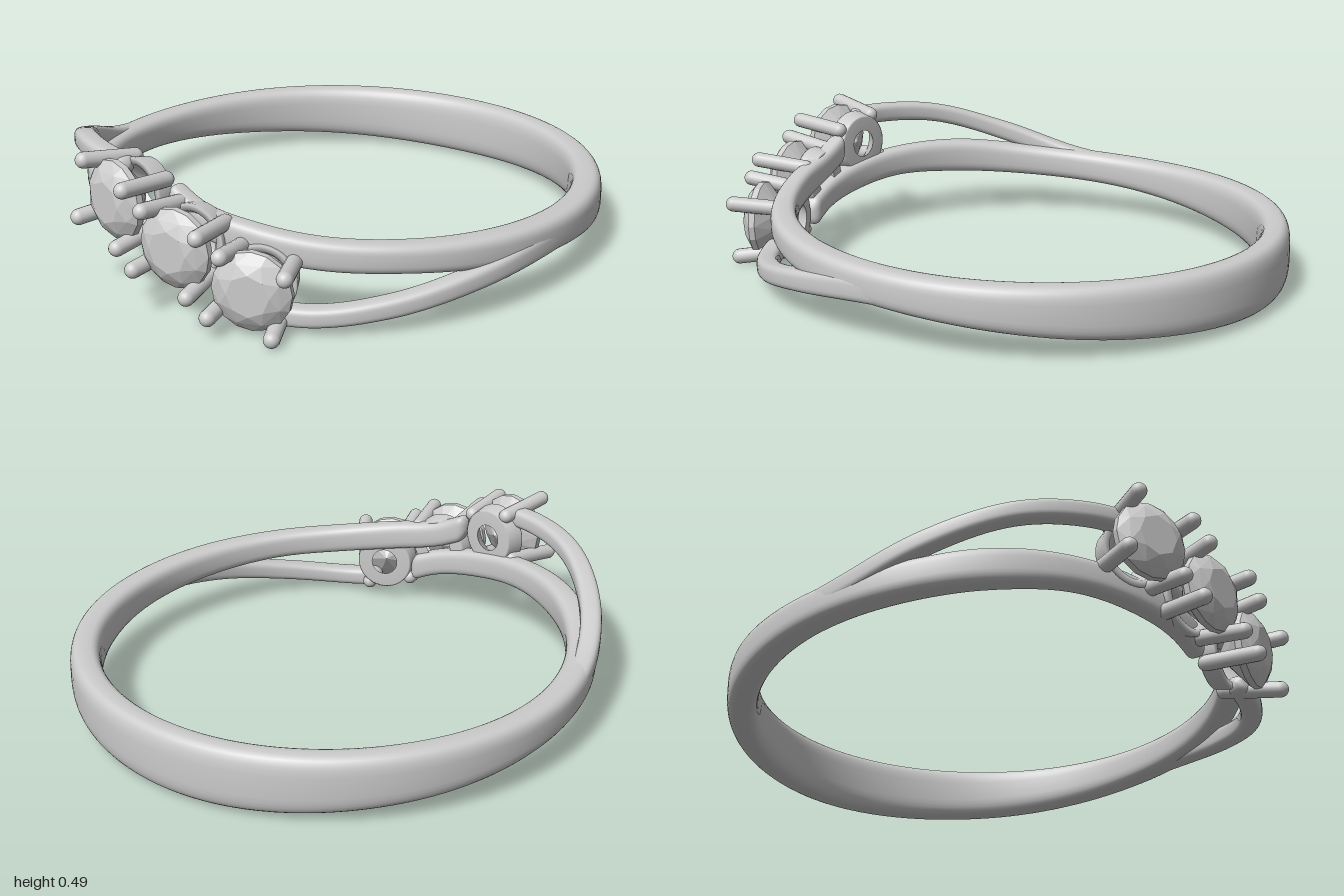
import * as THREE from 'three';
import { ConvexGeometry } from 'three/addons/geometries/ConvexGeometry.js';

const CENTRE_Z = -0.085; // the hoop's axis is vertical, slightly behind the origin
const rad = THREE.MathUtils.degToRad;

// Sweep a rounded-rectangle section around the hoop.
// Keys: [angle from front in degrees, bottom y, top y, inner radius, outer radius]
function sweep(name, keys, steps, material) {
  const interp = new THREE.CubicInterpolant(keys.map(k => k[0]), keys.flatMap(k => k.slice(1)), 4, new Float32Array(4));
  const first = keys[0][0], last = keys[keys.length - 1][0];
  const sides = 32, cap = 2.2;
  const soft = v => Math.sign(v) * Math.abs(v) ** 0.62;
  const pos = [], index = [];
  for (let i = 0; i <= steps; i++) {
    const deg = first + (last - first) * (1 - Math.cos(Math.PI * i / steps)) / 2;
    const [lo, hi, rIn, rOut] = interp.evaluate(deg);
    // rounded ends
    const e = Math.min(1, (deg - first) / cap, (last - deg) / cap);
    const s = Math.sqrt(Math.max(0, 1 - (1 - e) ** 2));
    for (let j = 0; j < sides; j++) {
      const a = j / sides * Math.PI * 2;
      const r = (rIn + rOut) / 2 + s * (rOut - rIn) / 2 * soft(Math.cos(a));
      const y = (lo + hi) / 2 + s * (hi - lo) / 2 * soft(Math.sin(a));
      pos.push(r * Math.sin(rad(deg)), y, CENTRE_Z + r * Math.cos(rad(deg)));
      if (i < steps) {
        const p = i * sides + j, q = i * sides + (j + 1) % sides;
        index.push(p, p + sides, q, q, p + sides, q + sides);
      }
    }
  }
  const geo = new THREE.BufferGeometry();
  geo.setAttribute('position', new THREE.Float32BufferAttribute(pos, 3));
  geo.setIndex(index);
  geo.computeVertexNormals();
  const mesh = new THREE.Mesh(geo, material);
  mesh.name = name;
  return mesh;
}

// Faceted round stone facing +z, girdle at z = 0
function stoneGeometry() {
  const pts = [];
  const ring = (n, r, z, turn) => {
    for (let i = 0; i < n; i++) {
      const a = (i + turn) / n * Math.PI * 2;
      pts.push(new THREE.Vector3(r * Math.cos(a), r * Math.sin(a), z));
    }
  };
  ring(8, 0.07, 0.05, 0);      // table
  ring(8, 0.106, 0.034, 0.5);  // crown
  ring(16, 0.132, 0.01, 0);    // girdle
  ring(16, 0.132, -0.012, 0);
  ring(8, 0.07, -0.065, 0.5);  // pavilion
  pts.push(new THREE.Vector3(0, 0, -0.115));
  return new ConvexGeometry(pts);
}

export function createModel() {
  const model = new THREE.Group();
  model.name = 'ring';
  const metal = new THREE.MeshStandardMaterial({ color: 0xcccccc });
  const facet = new THREE.MeshStandardMaterial({ color: 0xcccccc, flatShading: true });

  // Band: from the upper arm's tip, around the back, to the lower arm's tip
  model.add(sweep('band', [
    [-8, 0.30, 0.405, 0.81, 0.88],
    [0, 0.25, 0.35, 0.81, 0.885],
    [13, 0.21, 0.315, 0.81, 0.89],
    [27, 0.185, 0.287, 0.81, 0.895],
    [45, 0.17, 0.27, 0.81, 0.905],
    [65, 0.145, 0.257, 0.81, 0.915],
    [90, 0.115, 0.243, 0.81, 0.918],
    [135, 0.045, 0.23, 0.81, 0.918],
    [180, 0.008, 0.222, 0.81, 0.915],
    [225, 0.045, 0.228, 0.81, 0.918],
    [270, 0.115, 0.236, 0.81, 0.918],
    [295, 0.145, 0.262, 0.81, 0.915],
    [315, 0.17, 0.295, 0.81, 0.905],
    [333, 0.185, 0.293, 0.81, 0.895],
    [347, 0.165, 0.27, 0.81, 0.89],
    [360, 0.13, 0.23, 0.81, 0.885],
    [368, 0.085, 0.19, 0.81, 0.88],
  ], 200, metal));

  // Thin arms that split from the band and hold the outer stones
  model.add(sweep('lowerThinArm', [
    [17, 0.02, 0.09, 0.875, 0.95],
    [26, 0.018, 0.085, 0.88, 0.955],
    [41, 0.045, 0.115, 0.875, 0.95],
    [60, 0.095, 0.17, 0.86, 0.935],
    [77, 0.125, 0.21, 0.845, 0.92],
    [97, 0.13, 0.21, 0.83, 0.908],
  ], 60, metal));
  model.add(sweep('upperThinArm', [
    [-97, 0.13, 0.21, 0.83, 0.908],
    [-77, 0.175, 0.255, 0.845, 0.92],
    [-60, 0.27, 0.345, 0.86, 0.935],
    [-41, 0.365, 0.435, 0.875, 0.95],
    [-26, 0.39, 0.46, 0.88, 0.955],
    [-17, 0.39, 0.46, 0.875, 0.95],
  ], 60, metal));

  // Collar behind each stone: a short tube with a narrow bore
  const collarGeo = new THREE.LatheGeometry([
    [0.05, -0.15], [0.1, -0.15], [0.106, -0.146], [0.118, -0.088],
    [0.114, -0.082], [0.095, -0.082], [0.05, -0.15],
  ].map(p => new THREE.Vector2(...p)), 40).rotateX(Math.PI / 2);
  const collarMetal = new THREE.MeshStandardMaterial({ color: 0xcccccc, side: THREE.DoubleSide });
  const stoneGeo = stoneGeometry();
  const prongGeo = new THREE.CapsuleGeometry(0.027, 0.19, 8, 16);
  const up = new THREE.Vector3(0, 1, 0);

  // Three settings on a falling diagonal, each facing away from the hoop's axis
  ['right', 'centre', 'left'].forEach((side, i) => {
    const turn = (i - 1) * 0.27, reach = 0.98;
    const setting = new THREE.Group();
    setting.name = side + 'Setting';
    setting.position.set(reach * Math.sin(turn), 0.245 - (i - 1) * 0.095, CENTRE_Z + reach * Math.cos(turn));
    setting.rotation.y = turn;

    const stone = new THREE.Mesh(stoneGeo, facet);
    stone.name = 'stone';
    const collar = new THREE.Mesh(collarGeo, collarMetal);
    collar.name = 'collar';
    setting.add(stone, collar);

    // Four prongs leaning slightly outward
    for (let k = 0; k < 4; k++) {
      const a = rad(33 + 90 * k);
      const at = (r, z) => new THREE.Vector3(r * Math.cos(a), r * Math.sin(a), z);
      const base = at(0.118, -0.125), tip = at(0.15, 0.065);
      const prong = new THREE.Mesh(prongGeo, metal);
      prong.name = 'prong';
      prong.position.copy(base).add(tip).multiplyScalar(0.5);
      prong.quaternion.setFromUnitVectors(up, tip.sub(base).normalize());
      setting.add(prong);
    }
    model.add(setting);
  });
  return model;
}
